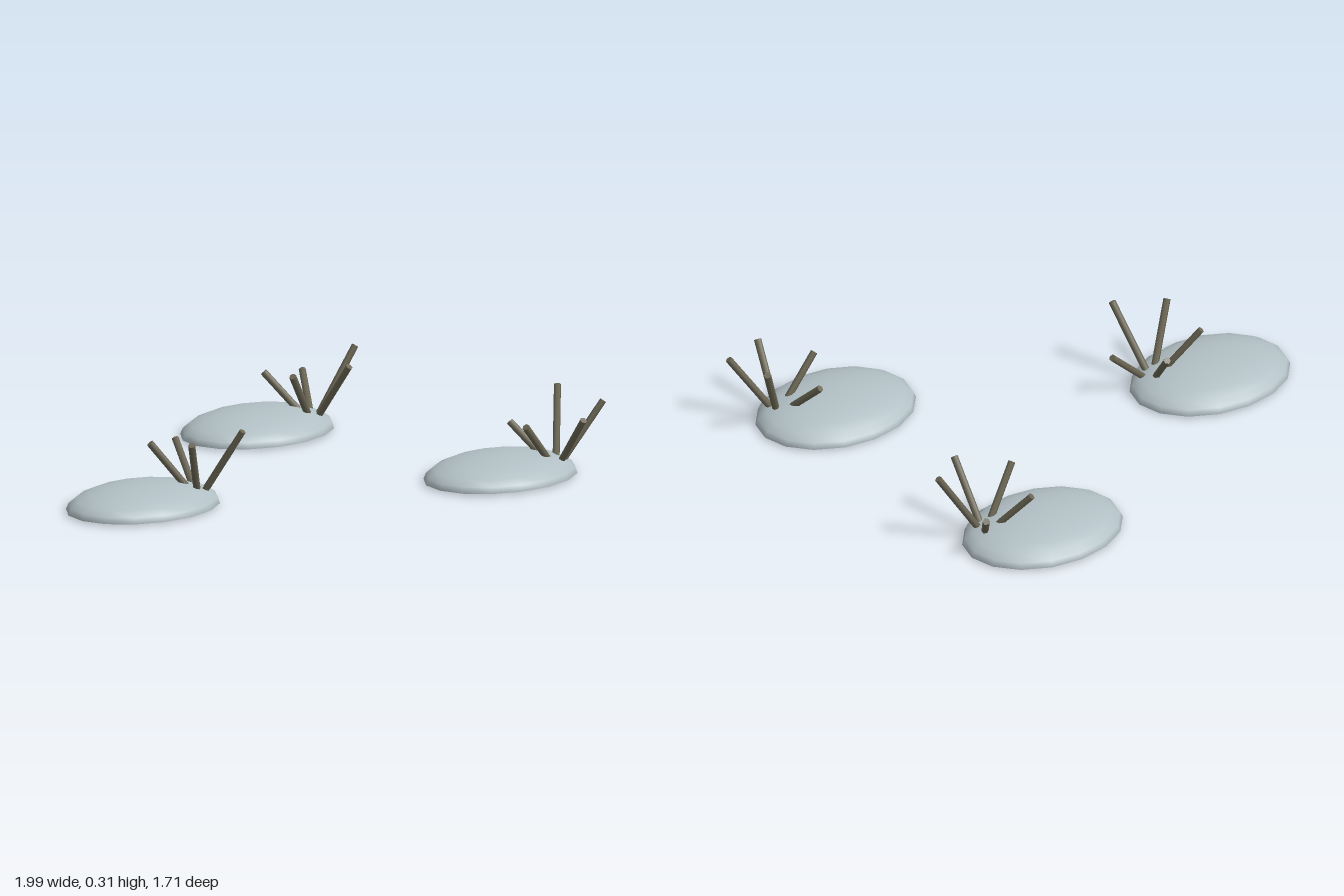
import * as THREE from 'three';

const stone = new THREE.MeshStandardMaterial({ color: 0xb2c0c5 });
stone.name = 'paleStone';
const twig = new THREE.MeshStandardMaterial({ color: 0x6b6654 });
twig.name = 'driedStalk';

const BASE = 0.006;
// Stalk tip heights, tallest to shortest, running round each tuft
const HEIGHTS = [0.3, 0.27, 0.242, 0.214, 0.185];

// Flattened half-sphere closed with a flat underside
function makeMound() {
  const mound = new THREE.Group();
  mound.name = 'mound';
  const dome = new THREE.Mesh(
    new THREE.SphereGeometry(1, 16, 6, 0, Math.PI * 2, 0, Math.PI / 2), stone);
  dome.name = 'dome';
  const underside = new THREE.Mesh(
    new THREE.CircleGeometry(1, 16).rotateX(Math.PI / 2), stone);
  underside.name = 'underside';
  mound.add(dome, underside);
  mound.scale.set(0.332, 0.09, 0.255);
  mound.position.y = BASE;
  return mound;
}

// Straight rod between two points
function makeStalk(from, to) {
  const dir = to.clone().sub(from);
  const stalk = new THREE.Mesh(
    new THREE.CylinderGeometry(0.014, 0.014, dir.length(), 6), twig);
  stalk.name = 'stalk';
  stalk.position.copy(from).add(to).multiplyScalar(0.5);
  stalk.quaternion.setFromUnitVectors(new THREE.Vector3(0, 1, 0), dir.normalize());
  return stalk;
}

// Five stalks fanning out from one root
function makeTuft(startDegrees, firstHeight) {
  const tuft = new THREE.Group();
  tuft.name = 'stalkTuft';
  const root = new THREE.Vector3(0, 0.009, 0);
  for (let i = 0; i < 5; i++) {
    const a = THREE.MathUtils.degToRad(startDegrees + i * 72);
    const y = HEIGHTS[(i + firstHeight) % 5];
    tuft.add(makeStalk(root, new THREE.Vector3(Math.cos(a) * 0.187, y, Math.sin(a) * 0.187)));
  }
  tuft.position.set(0.2, 0, 0.1);
  return tuft;
}

export function createModel() {
  const model = new THREE.Group();
  model.name = 'moundsWithStalks';
  // x, z, tuft start angle, index of the first stalk height
  const patches = [
    [-0.668, -0.09, 0, 4],
    [0.495, -0.605, 16, 0],
    [0.622, 0.555, 30, 1],
  ];
  for (const [x, z, start, first] of patches) {
    const patch = new THREE.Group();
    patch.name = 'patch';
    patch.add(makeMound(), makeTuft(start, first));
    patch.position.set(x, 0, z);
    model.add(patch);
  }
  return model;
}
